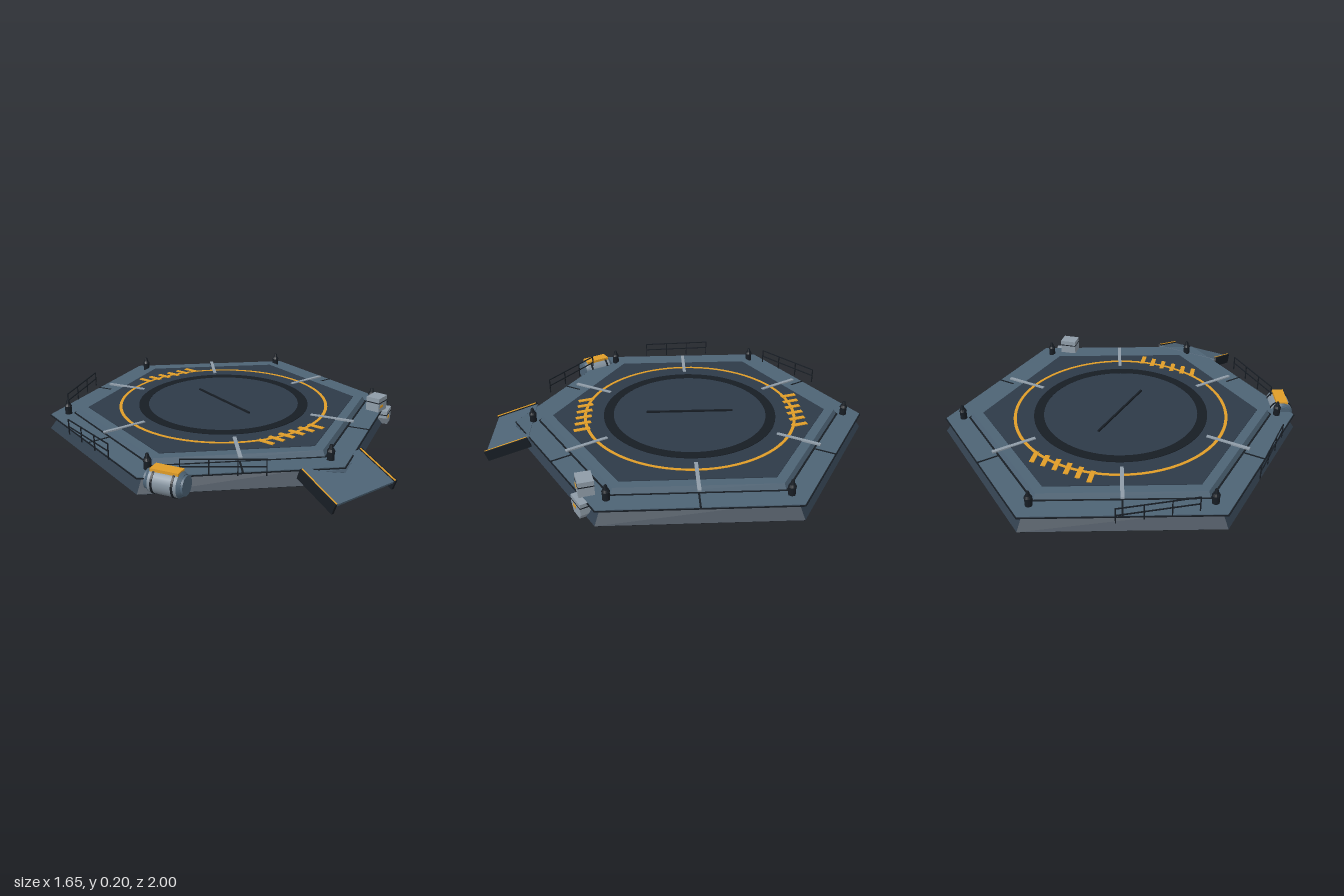
import * as THREE from 'three';

const mat = (color, extra = {}) => new THREE.MeshStandardMaterial({ color, ...extra });
const DECK = mat(0x4d6375, { flatShading: true });
const HULL = mat(0x303e4c, { flatShading: true });
const PAD = mat(0x2d3a48, { flatShading: true });
const BLACK = mat(0x171d24, { flatShading: true });
const GREY = mat(0x8f9ca8, { flatShading: true });
const YELLOW = mat(0xe09d28, { flatShading: true });
const TANK = mat(0x84929e);
const CAP = mat(0x4d6375);

function add(parent, name, geometry, material, x = 0, y = 0, z = 0, ry = 0) {
  const m = new THREE.Mesh(geometry, material);
  m.name = name;
  m.position.set(x, y, z);
  m.rotation.y = ry;
  parent.add(m);
  return m;
}
const box = (w, h, d) => new THREE.BoxGeometry(w, h, d);

function group(parent, name, x, y, z, ry = 0) {
  const g = new THREE.Group();
  g.name = name;
  g.position.set(x, y, z);
  g.rotation.y = ry;
  parent.add(g);
  return g;
}

// Hexagonal frustum with a corner towards +z
function hex(parent, name, rTop, rBottom, y0, y1, material) {
  return add(parent, name, new THREE.CylinderGeometry(rTop, rBottom, y1 - y0, 6), material, 0, (y0 + y1) / 2, 0);
}

// Flat ring with a little thickness, lying on the pad
function flatRing(parent, name, inner, outer, y0, y1, material) {
  const pts = [[inner, y0], [outer, y0], [outer, y1], [inner, y1], [inner, y0]].map(p => new THREE.Vector2(...p));
  return add(parent, name, new THREE.LatheGeometry(pts, 72), material);
}

function addRailing(parent, x, z, ry) {
  const g = group(parent, 'railing', x, 0.12, z, ry);
  const length = 0.385;
  for (let i = 0; i < 4; i++)
    add(g, 'railPost', box(0.005, 0.08, 0.005), BLACK, (i / 3 - 0.5) * (length - 0.005), 0.04, 0);
  for (const y of [0.042, 0.079]) add(g, 'rail', box(length, 0.005, 0.005), BLACK, 0, y, 0);
}

function addRamp(parent) {
  const g = group(parent, 'ramp', 0, 0.068, 0.945);
  g.rotation.x = 0.34;
  add(g, 'rampPanel', box(0.375, 0.012, 0.235), DECK, 0, 0.012, -0.004);
  for (const s of [-1, 1]) {
    add(g, 'rampSide', box(0.013, 0.055, 0.24), BLACK, s * 0.19, 0, 0);
    add(g, 'rampStripe', box(0.007, 0.004, 0.235), YELLOW, s * 0.185, 0.027, 0);
  }
  // Chevron pointing down the ramp
  const chevron = new THREE.Shape([[-0.08, 0.02], [0, 0.002], [0.08, 0.02], [0, -0.022]].map(p => new THREE.Vector2(...p)));
  const mark = add(g, 'rampChevron', new THREE.ExtrudeGeometry(chevron, { depth: 0.002, bevelEnabled: false }), mat(0x435768), 0, 0.0175, -0.045);
  mark.rotation.x = -Math.PI / 2;
}

function addTank(parent) {
  const g = group(parent, 'tank', -0.695, 0.1, 0.539, -Math.PI / 3);
  const turned = (name, r0, r1, length, material, x) => {
    const m = add(g, name, new THREE.CylinderGeometry(r1, r0, length, 28), material, x, 0, 0);
    m.rotation.z = -Math.PI / 2;
  };
  turned('tankBody', 0.06, 0.06, 0.14, TANK, 0);
  for (const s of [-1, 1]) {
    const [a, b] = s > 0 ? [0.06, 0.05] : [0.05, 0.06];
    turned('tankShoulder', a, b, 0.016, CAP, s * 0.078);
    turned('tankEnd', 0.047, 0.047, 0.012, CAP, s * 0.09);
    turned('tankBand', 0.0635, 0.0635, 0.01, BLACK, s * 0.05);
  }
  add(g, 'tankCover', box(0.14, 0.02, 0.06), YELLOW, 0, 0.056, 0);
}

function addCrates(parent) {
  const g = group(parent, 'equipmentBoxes', 0.665, 0, 0.515);
  // Upper cabinet
  const upper = group(g, 'upperBox', -0.012, 0.16, 0, 0.25);
  add(upper, 'cabinet', box(0.09, 0.078, 0.075), GREY);
  add(upper, 'cabinetBand', box(0.092, 0.005, 0.077), BLACK, 0, 0.012, 0);
  add(upper, 'cabinetLabel', box(0.032, 0.014, 0.003), YELLOW, -0.015, -0.01, 0.038);
  // Lower cabinet, narrowing to its foot
  const profile = new THREE.Shape([[-0.05, 0.04], [-0.05, 0], [-0.025, -0.04], [0.04, -0.04], [0.05, -0.02], [0.05, 0.04]].map(p => new THREE.Vector2(...p)));
  const lower = group(g, 'lowerBox', 0.03, 0.08, 0.005, 0.5);
  add(lower, 'lowerCabinet', new THREE.ExtrudeGeometry(profile, { depth: 0.08, bevelEnabled: false }), GREY, 0, 0, -0.04);
  add(lower, 'lowerBand', box(0.102, 0.005, 0.082), BLACK, 0, 0.018, 0);
  add(lower, 'lowerLabel', box(0.03, 0.014, 0.003), YELLOW, -0.01, 0, 0.041);
}

export function createModel() {
  const root = new THREE.Group();
  root.name = 'landingPad';
  const g = group(root, 'platform', 0.005, 0, -0.067);

  // Stacked hexagonal body
  hex(g, 'hull', 0.88, 0.935, 0.042, 0.116, HULL);
  hex(g, 'hullBottom', 0.933, 0.933, 0.04, 0.043, BLACK);
  hex(g, 'deckEdge', 0.931, 0.931, 0.114, 0.119, BLACK);
  hex(g, 'deck', 0.925, 0.925, 0.117, 0.123, DECK);
  hex(g, 'tierSeam', 0.806, 0.806, 0.12, 0.125, BLACK);
  hex(g, 'upperTier', 0.782, 0.798, 0.12, 0.152, DECK);
  hex(g, 'landingSurface', 0.727, 0.727, 0.15, 0.155, PAD);

  // Round markings and the split lift plate
  flatRing(g, 'guideRing', 0.547, 0.563, 0.153, 0.157, YELLOW);
  flatRing(g, 'liftRing', 0.405, 0.457, 0.153, 0.158, BLACK);
  add(g, 'liftPlate', new THREE.CylinderGeometry(0.408, 0.408, 0.005, 72), PAD, 0, 0.155, 0);
  add(g, 'liftSeam', box(0.01, 0.012, 0.46), BLACK, 0, 0.16, 0);

  // Slanted hazard bars, front and back
  for (const s of [-1, 1])
    for (let i = 0; i < 6; i++)
      add(g, 'hazardBar', box(0.024, 0.004, 0.085), YELLOW, (i - 2.5) * 0.064, 0.157, s * 0.562, 0.3);

  // Radial strips at the sides, lamps at the corners
  for (let i = 0; i < 6; i++) {
    const spoke = group(g, 'spoke', 0, 0, 0, (i * Math.PI) / 3);
    add(spoke, 'radialStrip', box(0.228, 0.008, 0.018), GREY, 0.61, 0.156, 0);
    add(spoke, 'deckSeam', box(0.11, 0.004, 0.009), BLACK, 0.75, 0.123, 0);

    const corner = group(g, 'corner', 0, 0, 0, (i * Math.PI) / 3);
    const lamp = group(corner, 'cornerLamp', 0, 0.122, 0.833);
    add(lamp, 'lampBase', new THREE.CylinderGeometry(0.018, 0.018, 0.045, 12), BLACK, 0, 0.022, 0);
    add(lamp, 'lampCollar', new THREE.CylinderGeometry(0.014, 0.02, 0.012, 12), BLACK, 0, 0.05, 0);
    add(lamp, 'lampHead', new THREE.CylinderGeometry(0.007, 0.012, 0.022, 12), BLACK, 0, 0.066, 0);
    add(corner, 'foot', new THREE.CylinderGeometry(0.014, 0.014, 0.004, 12), HULL, 0, 0.039, 0.833);
  }

  // Railings along the right-hand edges
  addRailing(g, -0.54, -0.625, 0.71);
  addRailing(g, -0.825, 0.033, -1.516);
  addRailing(g, -0.487, 0.667, -0.64);

  addRamp(g);
  addTank(g);
  addCrates(g);
  return root;
}
